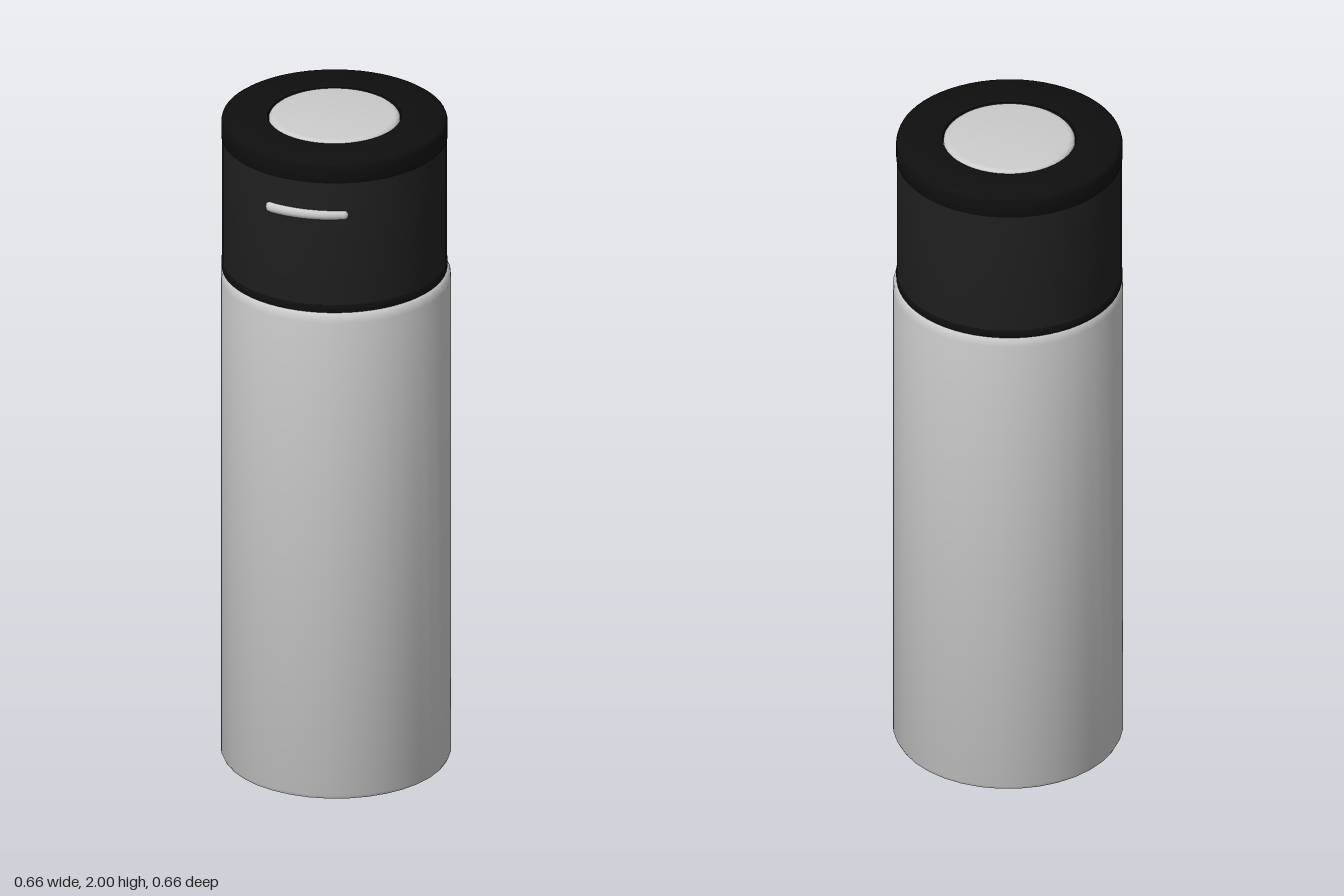
import * as THREE from 'three';
import { toCreasedNormals } from 'three/addons/utils/BufferGeometryUtils.js';

const grey = new THREE.MeshStandardMaterial({ color: 0xcccccc });
const lidBlack = new THREE.MeshStandardMaterial({ color: 0x202020 });
const trimBlack = new THREE.MeshStandardMaterial({ color: 0x0f0f0f });

// Turned part from [radius, height] pairs listed bottom to top
function turned(name, profile, material, segments = 64) {
  const points = profile.map(([r, y]) => new THREE.Vector2(r, y));
  const geometry = toCreasedNormals(new THREE.LatheGeometry(points, segments), 0.7);
  const mesh = new THREE.Mesh(geometry, material);
  mesh.name = name;
  return mesh;
}

export function createModel() {
  const model = new THREE.Group();
  model.name = 'bottle';

  // Straight body with a small foot bevel and a rounded shoulder
  model.add(turned('body', [
    [0, 0], [0.312, 0], [0.322, 0.004], [0.328, 0.016], [0.328, 1.495],
    [0.326, 1.51], [0.32, 1.522], [0.308, 1.53], [0, 1.53],
  ], grey, 36));

  // Lid, very slightly off the body's axis
  const lid = new THREE.Group();
  lid.name = 'lid';
  lid.position.set(-0.005, 0, -0.002);
  model.add(lid);

  lid.add(turned('lidBottomRim', [
    [0.3, 1.525], [0.321, 1.525], [0.322, 1.53], [0.322, 1.545], [0.319, 1.55], [0.3, 1.55],
  ], trimBlack));
  lid.add(turned('lidWall', [[0.319, 1.545], [0.32, 1.55], [0.32, 1.935]], lidBlack));
  lid.add(turned('lidTop', [
    [0.3, 1.93], [0.32, 1.93], [0.322, 1.934], [0.322, 1.98], [0.319, 1.99],
    [0.312, 1.995], [0.19, 1.995], [0.187, 1.98],
  ], trimBlack));

  // Round button set in the lid, with a bevelled edge
  lid.add(turned('button', [
    [0.187, 1.975], [0.187, 1.99], [0.183, 1.995], [0.177, 1.999], [0.17, 2], [0, 2],
  ], grey));

  // Rounded bar that follows the curve of the lid's front
  const barRadius = 0.017, arcRadius = 0.312, halfAngle = 0.345;
  const at = (a) => new THREE.Vector3(Math.sin(a) * arcRadius, 1.83, Math.cos(a) * arcRadius);
  const path = new THREE.CatmullRomCurve3(
    Array.from({ length: 9 }, (_, i) => at((i / 4 - 1) * halfAngle)));
  const bar = new THREE.Group();
  bar.name = 'frontBar';
  bar.position.x = -0.006;
  bar.add(new THREE.Mesh(new THREE.TubeGeometry(path, 24, barRadius, 12), grey));
  for (const side of [-1, 1]) {
    const end = new THREE.Mesh(new THREE.SphereGeometry(barRadius, 12, 8), grey);
    end.position.copy(at(side * halfAngle));
    bar.add(end);
  }
  bar.children.forEach((mesh, i) => { mesh.name = i ? 'barEnd' : 'barMiddle'; });
  lid.add(bar);

  return model;
}
